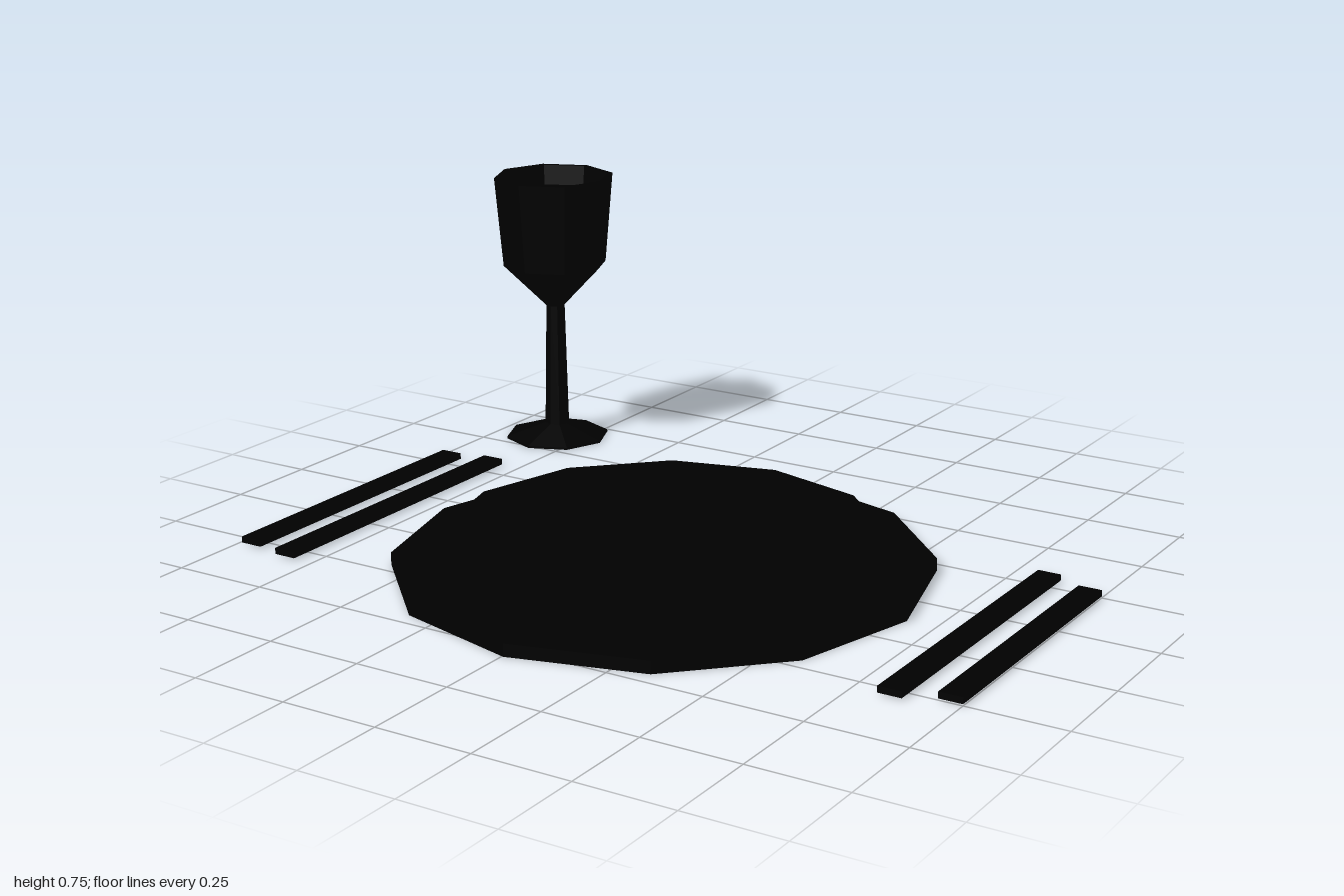
import * as THREE from 'three';

export function createModel() {
  const model = new THREE.Group();
  model.name = 'placeSetting';
  const black = new THREE.MeshStandardMaterial({ color: 0x000000, flatShading: true });
  black.name = 'black';

  function add(name, geometry, x, y, z) {
    const mesh = new THREE.Mesh(geometry, black);
    mesh.name = name;
    mesh.position.set(x, y, z);
    model.add(mesh);
  }

  // Profiles run from the bottom centre, up the outside and in across the top
  function turned(name, profile, sides, x, z) {
    const points = profile.map(([r, y]) => new THREE.Vector2(r, y));
    add(name, new THREE.LatheGeometry(points, sides), x, 0, z);
  }

  // Twelve-sided charger with a flat-topped dinner plate on it
  add('chargerPlate', new THREE.CylinderGeometry(0.67, 0.67, 0.032, 12), 0.004, 0.016, 0.126);
  turned('dinnerPlate', [
    [0, 0.032], [0.25, 0.032], [0.51, 0.078], [0.544, 0.1], [0, 0.1],
  ], 12, 0.006, 0.126);

  // Eight-sided goblet: foot, stem and filled bowl below a raised rim
  turned('goblet', [
    [0, 0], [0.145, 0], [0.145, 0.006], [0.034, 0.041], [0.026, 0.385],
    [0.145, 0.505], [0.167, 0.755],
    [0.152, 0.755], [0.146, 0.7], [0, 0.7],
  ], 8, -0.833, -0.63);

  // Cutlery bars: name, centre x, back z, front z
  const cutlery = [
    ['outerFork', -0.958, -0.296, 0.541],
    ['innerFork', -0.832, -0.316, 0.561],
    ['knife', 0.844, -0.296, 0.541],
    ['spoon', 0.97, -0.25, 0.5],
  ];
  for (const [name, x, back, front] of cutlery) {
    add(name, new THREE.BoxGeometry(0.06, 0.016, front - back), x, 0.012, (front + back) / 2);
  }
  return model;
}
